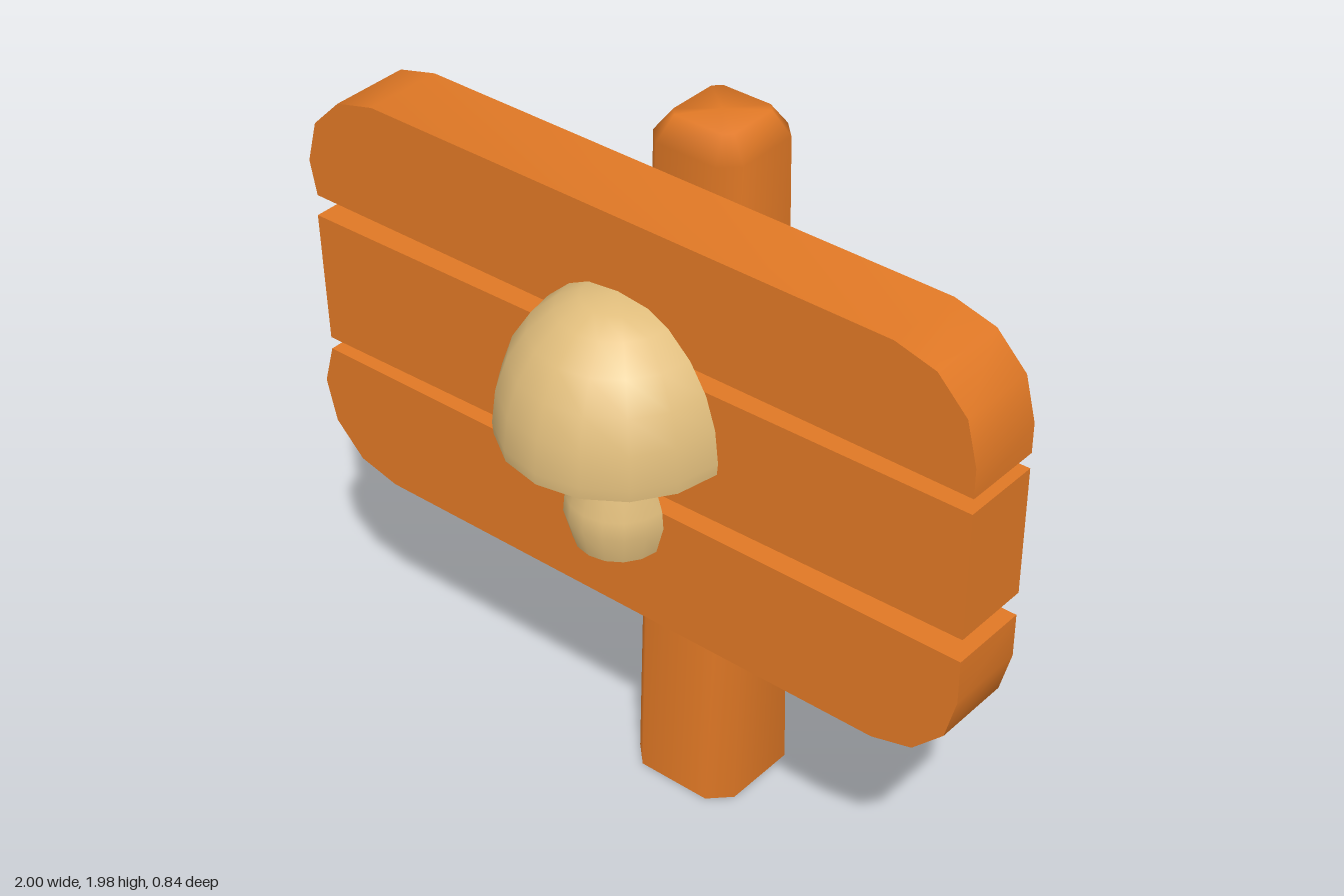
import * as THREE from 'three';
import { toCreasedNormals } from 'three/addons/utils/BufferGeometryUtils.js';

const wood = new THREE.MeshStandardMaterial({ color: 0xe07825, side: THREE.DoubleSide });
wood.name = 'orangeWood';
const tan = new THREE.MeshStandardMaterial({ color: 0xe0bd7c, side: THREE.DoubleSide });
tan.name = 'mushroomTan';

const BACK = -0.1, FRONT = 0.12;

function add(group, name, geometry, material) {
  const mesh = new THREE.Mesh(geometry, material);
  mesh.name = name;
  group.add(mesh);
  return mesh;
}

// Tapered post with chamfered corners, open at the foot: rings of [y, half width, chamfer]
function postGeometry() {
  const rings = [[0, 0.163, 0.055], [1.91, 0.134, 0.045], [1.972, 0.09, 0.02]];
  const pos = [], index = [];
  for (const [y, h, c] of rings) {
    const k = h - c;
    for (const [x, z] of [[h, -k], [h, k], [k, h], [-k, h], [-h, k], [-h, -k], [-k, -h], [k, -h]]) pos.push(x, y, z);
  }
  for (let r = 0; r < rings.length - 1; r++) {
    for (let i = 0; i < 8; i++) {
      const a = r * 8 + i, b = r * 8 + (i + 1) % 8;
      index.push(a, a + 8, b, b, a + 8, b + 8);
    }
  }
  const top = (rings.length - 1) * 8;
  pos.push(0, 1.975, 0);
  for (let i = 0; i < 8; i++) index.push(top + i, top + 8, top + (i + 1) % 8);
  const g = new THREE.BufferGeometry();
  g.setAttribute('position', new THREE.Float32BufferAttribute(pos, 3));
  g.setIndex(index);
  g.computeVertexNormals();
  return g;
}

// Plank cut from an outline, with rounded corners shaded smoothly
function plankGeometry(points) {
  const shape = new THREE.Shape(points.map(([x, y]) => new THREE.Vector2(x, y)));
  const g = new THREE.ExtrudeGeometry(shape, { depth: FRONT - BACK, bevelEnabled: false });
  g.translate(0, 0, BACK);
  return toCreasedNormals(g, 0.65);
}

// Half-round body whose flat side lies against the planks
function halfLathe(profile, crease) {
  const g = new THREE.LatheGeometry(profile.map(([r, y]) => new THREE.Vector2(r, y)), 8, -Math.PI / 2, Math.PI);
  g.translate(0, 0, FRONT);
  return toCreasedNormals(g, crease);
}

export function createModel() {
  const group = new THREE.Group();
  group.name = 'mushroomSign';

  add(group, 'post', postGeometry(), wood).position.z = -0.255;

  // Rounded end: offsets from the outer edge of the top and bottom planks
  const corner = [[1, 0.23], [0.97, 0.115], [0.885, 0.03], [0.77, 0]];
  const right = (y, s) => corner.map(([x, d]) => [x, y + s * d]);
  const left = (y, s) => corner.map(([x, d]) => [-x, y + s * d]).reverse();
  add(group, 'topPlank', plankGeometry(
    [[-0.98, 1.535], [1, 1.547], ...right(1.858, -1), ...left(1.858, -1)]), wood);
  add(group, 'middlePlank', plankGeometry(
    [[-0.97, 1.115], [1, 1.155], [1, 1.505], [-0.985, 1.475]]), wood);
  add(group, 'bottomPlank', plankGeometry(
    [[1, 1.09], [-0.97, 1.08], ...left(0.74, 1).reverse(), ...right(0.74, 1).reverse()]), wood);

  // Mushroom emblem
  const mushroom = new THREE.Group();
  mushroom.name = 'mushroom';
  group.add(mushroom);
  add(mushroom, 'mushroomStem', halfLathe(
    [[0, 0.96], [0.115, 0.96], [0.137, 1.04], [0.133, 1.09], [0.11, 1.16], [0.101, 1.21], [0.105, 1.275]], 0.8), tan);
  add(mushroom, 'mushroomCap', halfLathe(
    [[0, 1.267], [0.275, 1.267], [0.297, 1.278], [0.3, 1.31], [0.29, 1.4], [0.262, 1.485], [0.215, 1.56],
      [0.15, 1.62], [0.09, 1.65], [0, 1.66]], 0.9), tan);

  return group;
}
